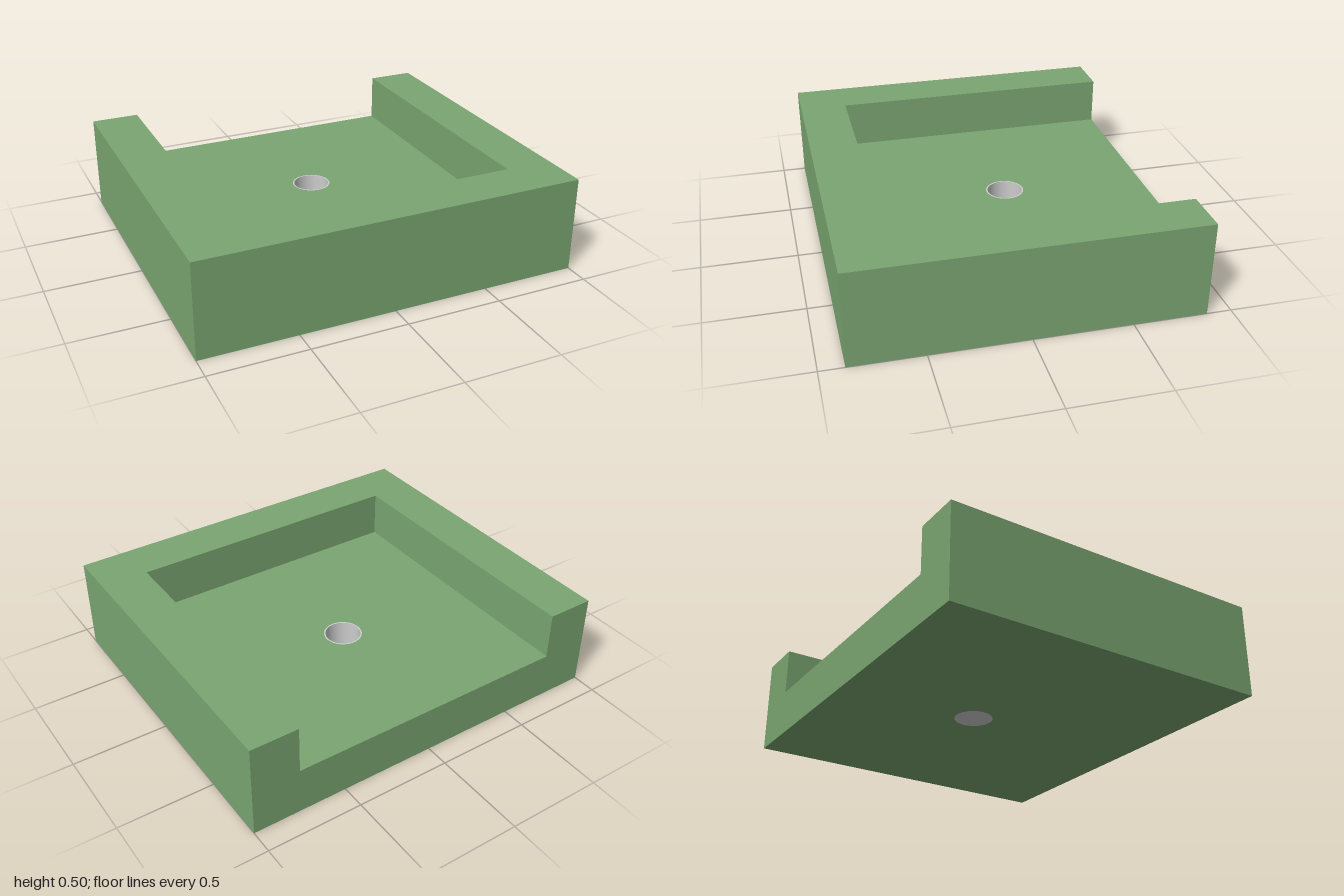
import * as THREE from 'three';
import { toCreasedNormals } from 'three/addons/utils/BufferGeometryUtils.js';

const W = 1, D = 0.875, WALL = 0.25, FLOOR = 0.25, HEIGHT = 0.5;
const HOLE_R = 0.1, HOLE_Z = -0.125;

// Extrude a plan outline (x, -z) upward from y0 to y1
function slab(name, shape, y0, y1, material) {
  const geo = new THREE.ExtrudeGeometry(shape, { depth: y1 - y0, bevelEnabled: false, curveSegments: 24 });
  geo.rotateX(-Math.PI / 2).translate(0, y0, 0);
  const mesh = new THREE.Mesh(geo, material);
  mesh.name = name;
  return mesh;
}

const outline = (points) => new THREE.Shape(points.map(([x, y]) => new THREE.Vector2(x, y)));

export function createModel() {
  const group = new THREE.Group();
  group.name = 'tray';
  const green = new THREE.MeshStandardMaterial({ color: 0x7aa571 });
  const grey = new THREE.MeshStandardMaterial({ color: 0xcccccc });

  // Base plate with a round hole
  const plate = outline([[-W, -D], [W, -D], [W, D], [-W, D]]);
  plate.holes.push(new THREE.Path().absarc(0, -HOLE_Z, HOLE_R, 0, Math.PI * 2, true));
  group.add(slab('basePlate', plate, 0, FLOOR, green));

  // U-shaped wall, open at the back
  const xi = W - WALL, yi = -D + WALL;
  const wall = outline([[-W, -D], [W, -D], [W, D], [xi, D], [xi, yi], [-xi, yi], [-xi, D], [-W, D]]);
  group.add(slab('surroundingWall', wall, FLOOR, HEIGHT, green));

  // Grey cup lining the hole, closed flush with the underside
  const r = HOLE_R - 0.008;
  const profile = [[0, 0], [HOLE_R, 0], [HOLE_R, FLOOR], [r, FLOOR], [r, 0.005], [0, 0.005]]
    .map(([x, y]) => new THREE.Vector2(x, y));
  const cup = new THREE.Mesh(toCreasedNormals(new THREE.LatheGeometry(profile, 48), 0.6), grey);
  cup.name = 'holeLiner';
  cup.position.z = HOLE_Z;
  group.add(cup);

  return group;
}
